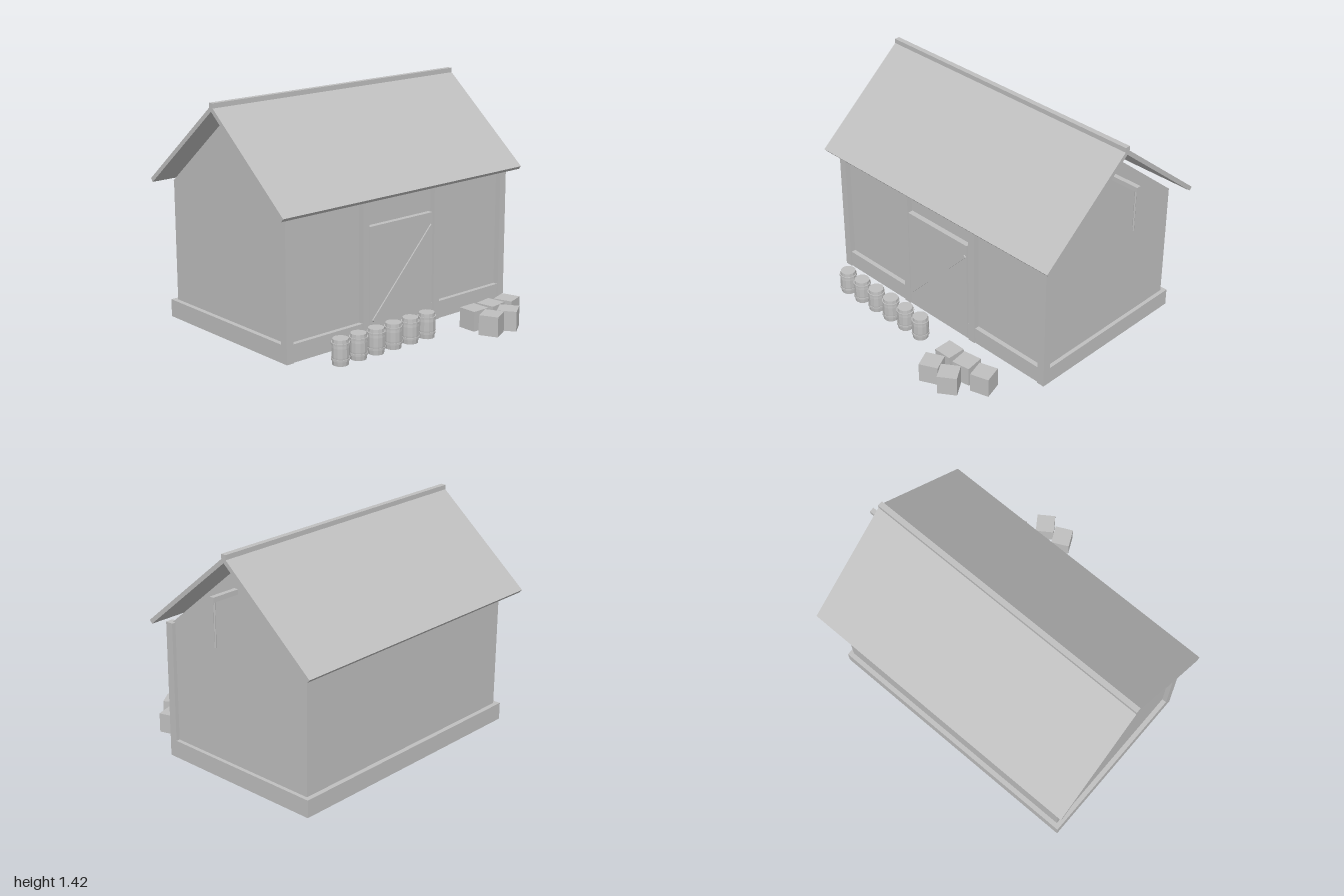
import * as THREE from 'three';

export function createModel() {
  const model = new THREE.Group();
  const grey = new THREE.MeshStandardMaterial({ color: 0xbfbfbf, flatShading: true });
  grey.name = 'plain grey';
  const ridgeZ = -0.21;

  function add(name, geometry, parent = model) {
    const mesh = new THREE.Mesh(geometry, grey);
    mesh.name = name;
    parent.add(mesh);
    return mesh;
  }

  // Box given by its extents along each axis
  function box(name, [x0, x1], [y0, y1], [z0, z1]) {
    const mesh = add(name, new THREE.BoxGeometry(x1 - x0, y1 - y0, z1 - z0));
    mesh.position.set((x0 + x1) / 2, (y0 + y1) / 2, (z0 + z1) / 2);
    return mesh;
  }

  // Cross-section in (z offset from ridge, y), extruded along x
  function prism(name, points, x0, x1) {
    const shape = new THREE.Shape(points.map(([z, y]) => new THREE.Vector2(-z, y)));
    const geometry = new THREE.ExtrudeGeometry(shape, { depth: x1 - x0, bevelEnabled: false });
    geometry.rotateY(Math.PI / 2);
    geometry.translate(x0, 0, ridgeZ);
    return add(name, geometry);
  }

  // Plinth, walls and gable
  box('plinth', [-0.935, 0.84], [0, 0.11], [-0.775, 0.355]);
  box('walls', [-0.905, 0.815], [0.1, 0.865], [-0.745, 0.325]);
  prism('gable', [[-0.54, 0.865], [0.54, 0.865], [0, 1.32]], -0.905, 0.815);

  // Front posts
  for (const x of [-0.91, -0.335, 0.24, 0.815]) {
    box('frontPost', [x - 0.025, x + 0.025], [0, 0.865], [0.31, 0.362]);
  }

  // Door with diagonal brace
  box('door', [-0.305, 0.2], [0.01, 0.69], [0.32, 0.36]);
  const from = new THREE.Vector2(-0.285, 0.11), to = new THREE.Vector2(0.19, 0.615);
  const brace = add('doorBrace', new THREE.BoxGeometry(from.distanceTo(to), 0.016, 0.012));
  brace.position.set((from.x + to.x) / 2, (from.y + to.y) / 2, 0.363);
  brace.rotation.z = Math.atan2(to.y - from.y, to.x - from.x);

  // Roof slopes and ridge beam
  for (const side of [1, -1]) {
    const section = [[0, 1.41], [0.64, 0.876], [0.622, 0.856], [0, 1.375]];
    prism('roofSlope', section.map(([z, y]) => [z * side, y]), -1, 0.905);
  }
  box('ridgeBeam', [-1, 0.905], [1.39, 1.425], [ridgeZ - 0.017, ridgeZ + 0.017]);

  // Hoist beam and rope
  box('hoistBeam', [0.78, 1], [1.175, 1.205], [ridgeZ - 0.015, ridgeZ + 0.015]);
  const rope = add('hoistRope', new THREE.CylinderGeometry(0.006, 0.006, 0.28, 8));
  rope.position.set(0.98, 1.043, ridgeZ);

  // Row of barrels with two hoops each
  const barrelBody = new THREE.LatheGeometry(
    [[0, 0], [0.048, 0], [0.053, 0.05], [0.053, 0.105], [0.048, 0.155], [0, 0.155]]
      .map(([r, y]) => new THREE.Vector2(r, y)), 12);
  const hoop = new THREE.CylinderGeometry(0.056, 0.056, 0.012, 12);
  for (let i = 0; i < 6; i++) {
    const barrel = new THREE.Group();
    barrel.name = 'barrel';
    barrel.position.set(-0.695 + i * 0.135, 0, 0.545);
    add('barrelBody', barrelBody, barrel);
    for (const y of [0.035, 0.128]) add('barrelHoop', hoop, barrel).position.y = y;
    model.add(barrel);
  }

  // Crates, each turned a little further
  for (let i = 0; i < 5; i++) {
    const crate = add('crate', new THREE.BoxGeometry(0.12, 0.125, 0.12));
    crate.position.set(0.31 + (i % 3) * 0.145, 0.0625, i < 3 ? 0.615 : 0.76);
    crate.rotation.y = i * 0.15;
  }

  return model;
}
